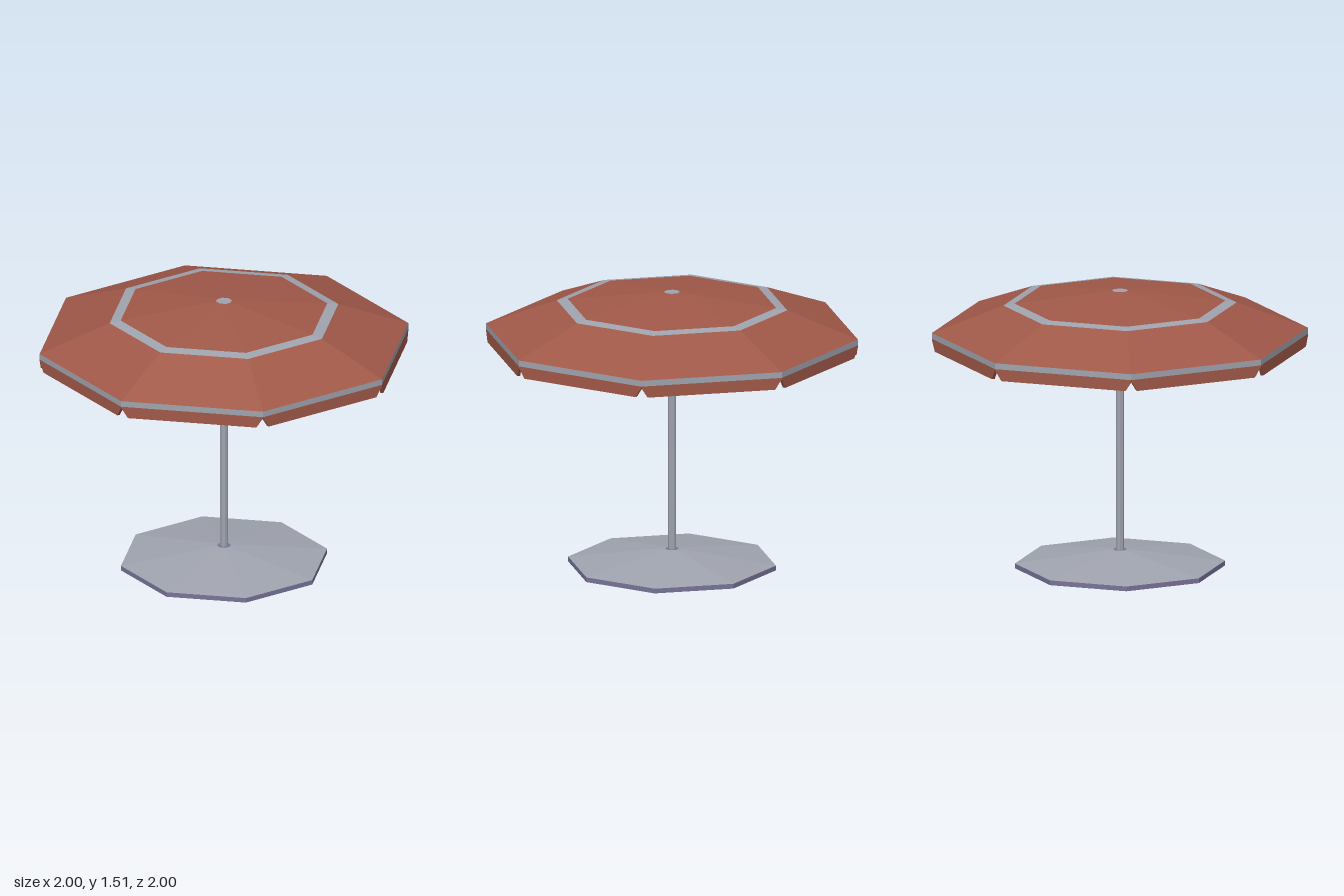
import * as THREE from 'three';

const SIDES = 8;

function material(name, color) {
  const m = new THREE.MeshStandardMaterial({ color, flatShading: true });
  m.name = name;
  return m;
}

export function createModel() {
  const group = new THREE.Group();
  group.name = 'parasol';
  const fabric = material('terracotta fabric', 0xa05848);
  const grey = material('light grey', 0x9fa3ae);
  const edge = material('purple grey', 0x787398);

  // Faceted ring of eight sides; a rising profile faces outward
  function facet(name, profile, mat, parent = group) {
    const points = profile.map(([r, y]) => new THREE.Vector2(r, y));
    const geometry = new THREE.LatheGeometry(points, SIDES).toNonIndexed();
    geometry.computeVertexNormals();
    const mesh = new THREE.Mesh(geometry, mat);
    mesh.name = name;
    parent.add(mesh);
  }

  // Base
  facet('baseEdge', [[0, 0], [0.559, 0], [0.559, 0.026]], edge);
  facet('baseTop', [[0.559, 0.026], [0.037, 0.096]], grey);
  facet('baseCollar', [[0.037, 0.096], [0, 0.096]], edge);

  // Pole
  facet('pole', [[0.021, 0.09], [0.021, 1.47]], grey);

  // Canopy: a thick shell with a grey rim, stripe and cap
  const canopy = new THREE.Group();
  canopy.name = 'canopy';
  group.add(canopy);
  facet('rimBand', [[1, 1.258], [1, 1.29]], grey, canopy);
  facet('outerPanels', [[1, 1.29], [0.62, 1.434]], fabric, canopy);
  facet('canopyStripe', [[0.62, 1.434], [0.56, 1.444]], grey, canopy);
  facet('innerPanels', [[0.56, 1.444], [0.043, 1.508]], fabric, canopy);
  facet('cap', [[0.043, 1.508], [0, 1.508]], grey, canopy);
  facet('lining', [[0, 1.46], [0.62, 1.36], [1, 1.258]], fabric, canopy);

  // Valance: eight hanging flaps with notched corners
  const half = Math.sin(Math.PI / SIDES);
  const apothem = Math.cos(Math.PI / SIDES);
  const thickness = 0.016;
  const flapShape = new THREE.Shape([
    [-half + 0.036, 1.195], [half - 0.036, 1.195],
    [half - 0.001, 1.25], [half - 0.001, 1.258],
    [-half + 0.001, 1.258], [-half + 0.001, 1.25],
  ].map(([x, y]) => new THREE.Vector2(x, y)));
  const flapGeometry = new THREE.ExtrudeGeometry(flapShape, { depth: thickness, bevelEnabled: false });
  flapGeometry.translate(0, 0, apothem - thickness);

  for (let i = 0; i < SIDES; i++) {
    const flap = new THREE.Mesh(flapGeometry, fabric);
    flap.name = 'valanceFlap';
    flap.rotation.y = ((i + 0.5) / SIDES) * Math.PI * 2;
    canopy.add(flap);
  }
  return group;
}
